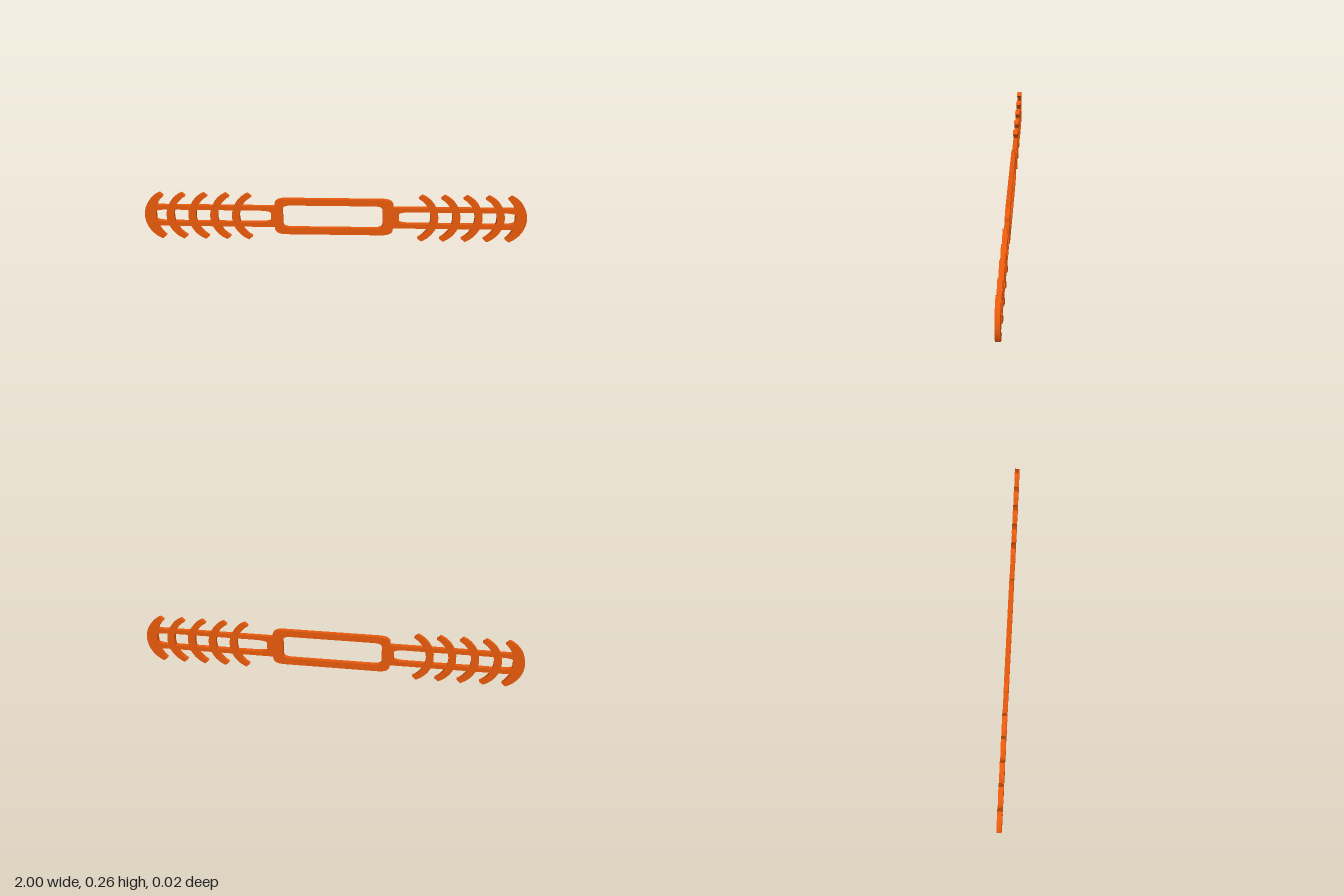
import * as THREE from 'three';

const DEPTH = 0.024;
const MID_Y = 0.13;
const material = new THREE.MeshStandardMaterial({ color: 0xe8590c });

// Flat plate of the strap's thickness, centred on z = 0
function plate(name, shape) {
  const geometry = new THREE.ExtrudeGeometry(shape, { depth: DEPTH, bevelEnabled: false, curveSegments: 10 });
  geometry.translate(0, 0, -DEPTH / 2);
  const mesh = new THREE.Mesh(geometry, material);
  mesh.name = name;
  return mesh;
}

// Rectangle with elliptical corners, rx wide and ry high
function softRect(path, x0, y0, x1, y1, rx, ry) {
  path.moveTo(x0 + rx, y0);
  path.lineTo(x1 - rx, y0);
  path.quadraticCurveTo(x1, y0, x1, y0 + ry);
  path.lineTo(x1, y1 - ry);
  path.quadraticCurveTo(x1, y1, x1 - rx, y1);
  path.lineTo(x0 + rx, y1);
  path.quadraticCurveTo(x0, y1, x0, y1 - ry);
  path.lineTo(x0, y0 + ry);
  path.quadraticCurveTo(x0, y0, x0 + rx, y0);
  return path;
}

// Crescent hook with its outer apex at x = 0; both edges are circular arcs
function barbShape(thickness) {
  const edge = (apex, tipX, tipY) => {
    const sag = apex - tipX;
    const r = (tipY * tipY + sag * sag) / (2 * sag);
    const a = Math.atan2(tipY, tipX - (apex - r));
    return { cx: apex - r, r, a };
  };
  const outer = edge(0, -0.085, 0.13);
  const inner = edge(-thickness, -0.105, 0.113);
  const shape = new THREE.Shape();
  shape.absarc(outer.cx, 0, outer.r, -outer.a, outer.a, false);
  shape.absarc(inner.cx, 0, inner.r, inner.a, -inner.a, true);
  shape.closePath();
  return shape;
}

// Twin rails with a row of hooks pointing back to the centre
function createArm(name) {
  const arm = new THREE.Group();
  arm.name = name;

  const rails = softRect(new THREE.Shape(), 0.295, -0.056, 0.975, 0.06, 0.004, 0.004);
  rails.holes.push(softRect(new THREE.Path(), 0.335, -0.031, 0.94, 0.037, 0.07, 0.014));
  const railMesh = plate('rails', rails);
  railMesh.position.y = MID_Y;
  arm.add(railMesh);

  for (let i = 0; i < 5; i++) {
    const barb = plate('barb' + (i + 1), barbShape(i === 4 ? 0.055 : 0.04));
    barb.position.set(0.54 + i * 0.115, MID_Y, 0);
    arm.add(barb);
  }
  return arm;
}

export function createModel() {
  const model = new THREE.Group();
  model.name = 'strapExtender';

  // Central open frame
  const frame = softRect(new THREE.Shape(), -0.315, 0.033, 0.305, 0.233, 0.06, 0.035);
  frame.holes.push(softRect(new THREE.Path(), -0.272, 0.07, 0.25, 0.198, 0.045, 0.022));
  model.add(plate('centreFrame', frame));

  // Matching arms on both sides
  const left = createArm('leftArm');
  const right = createArm('rightArm');
  right.rotation.y = Math.PI;
  model.add(left, right);
  return model;
}
